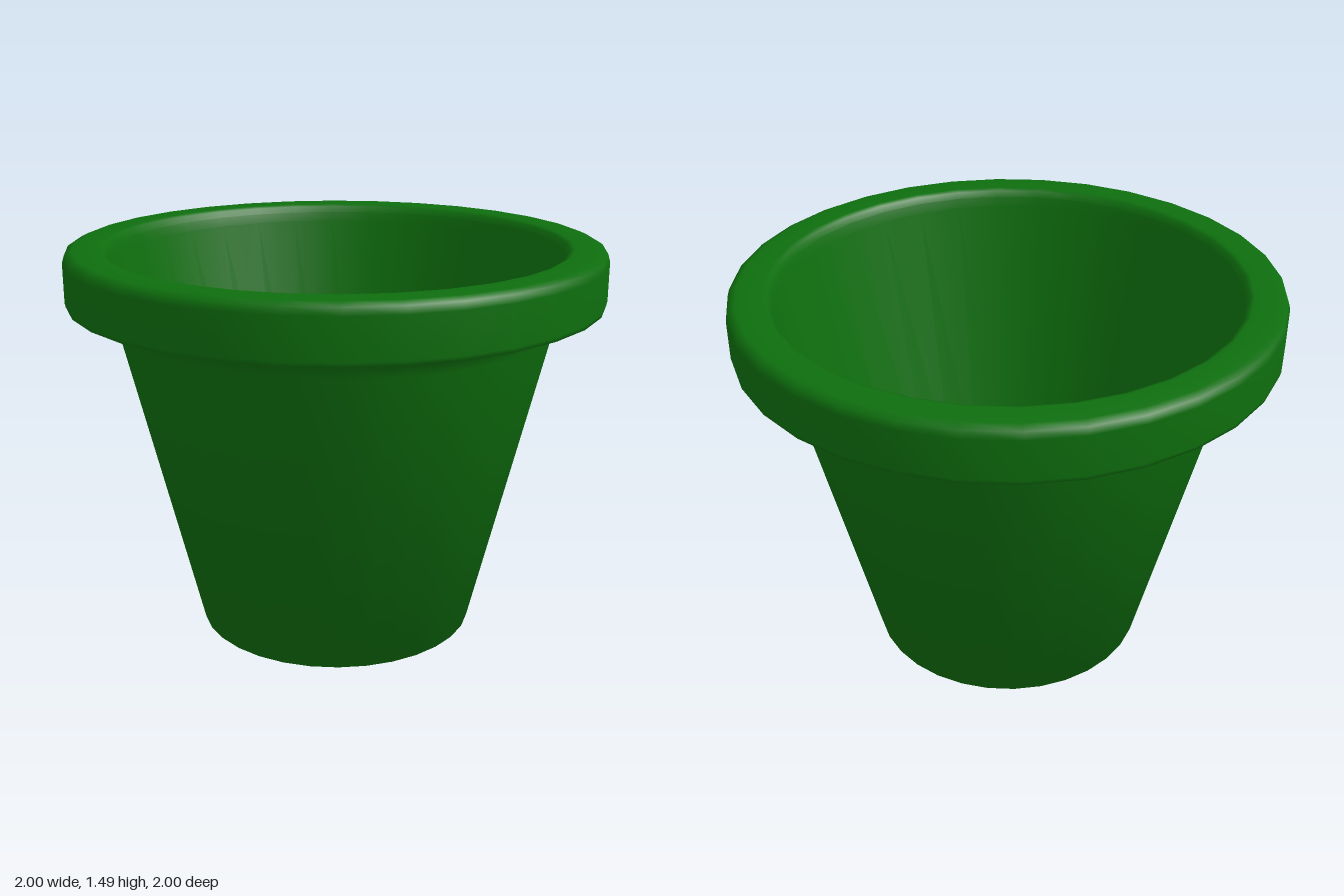
import * as THREE from 'three';

const SIDES = 32;

// Smooth turned part from [radius, height] pairs
function turned(name, profile, material) {
  const points = profile.map(([r, y]) => new THREE.Vector2(r, y));
  const mesh = new THREE.Mesh(new THREE.LatheGeometry(points, SIDES), material);
  mesh.name = name;
  return mesh;
}

export function createModel() {
  const model = new THREE.Group();
  model.name = 'flowerPot';
  const green = new THREE.MeshStandardMaterial({ color: 0x0e6e0e });
  green.name = 'dark green';

  // Underside, tapering wall and the flare below the rim
  model.add(turned('outerWall', [
    [0, 0], [0.53, 0], [0.815, 1.19], [0.83, 1.23], [0.86, 1.265], [0.9, 1.28],
  ], green));

  // Overhanging rim with rounded edges
  model.add(turned('rim', [
    [0.9, 1.28], [0.985, 1.28], [0.997, 1.285], [1, 1.3], [1, 1.445],
    [0.992, 1.472], [0.965, 1.485], [0.875, 1.485], [0.857, 1.478], [0.847, 1.455],
  ], green));

  // Hollow inside, rounded into the floor
  model.add(turned('innerWall', [
    [0.847, 1.455], [0.835, 1.42], [0.57, 0.3], [0.54, 0.22], [0.48, 0.2], [0, 0.2],
  ], green));

  model.rotation.y = -0.017;
  return model;
}
